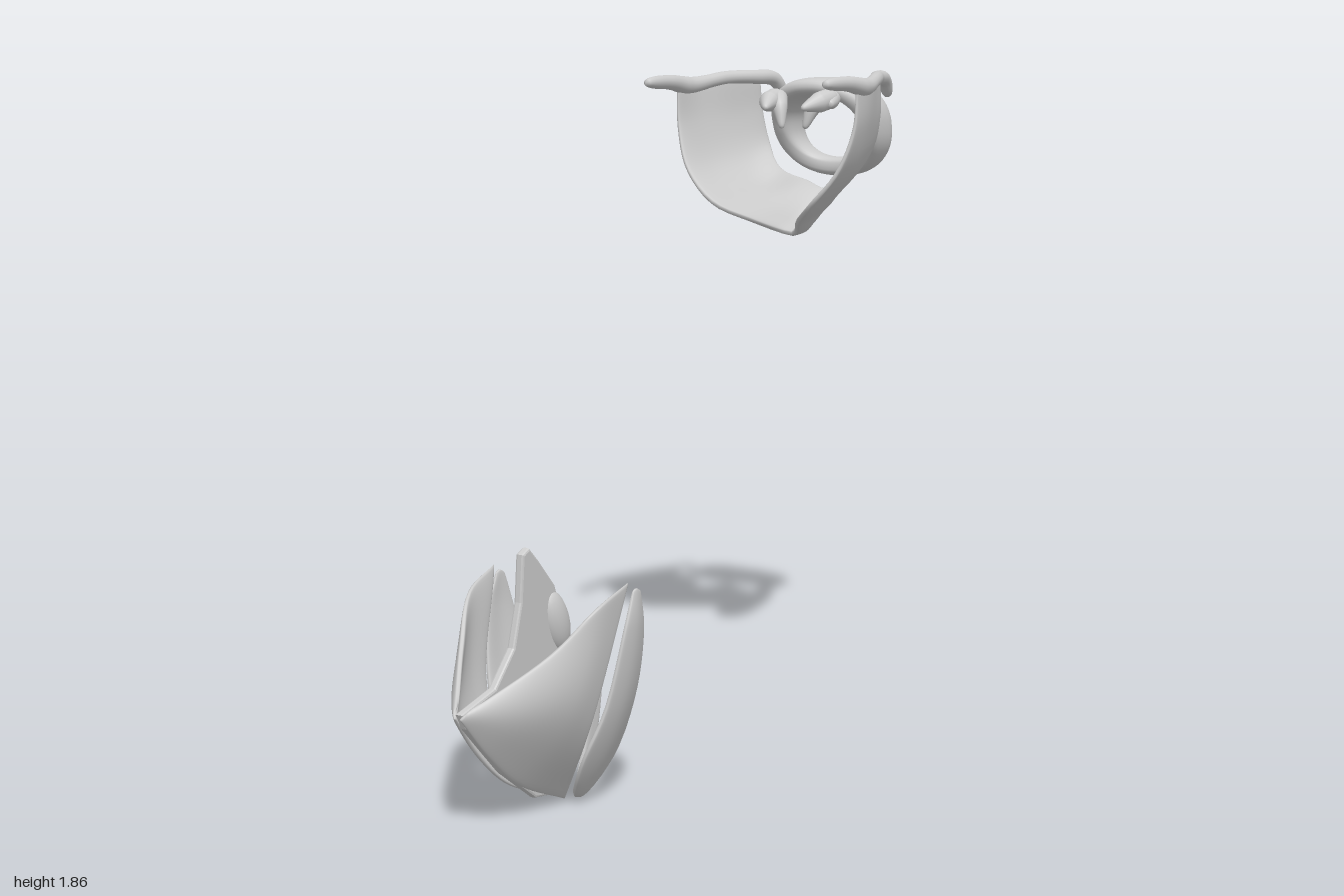
import * as THREE from 'three';
import { mergeVertices } from 'three/addons/utils/BufferGeometryUtils.js';

const material = new THREE.MeshStandardMaterial({ color: 0xcccccc, side: THREE.DoubleSide });
const V = (p) => new THREE.Vector3(...p);
const spline = (points) => new THREE.CatmullRomCurve3(points);
const clamp01 = (t) => Math.min(1, Math.max(0, t));

// Closed smooth surface from fn(u, v); triangles are turned to face outwards
function surface(fn, nu, nv) {
  const pos = [], index = [];
  for (let i = 0; i <= nu; i++)
    for (let j = 0; j <= nv; j++) pos.push(...fn(i / nu, j / nv).toArray());
  for (let i = 0; i < nu; i++)
    for (let j = 0; j < nv; j++) {
      const a = i * (nv + 1) + j, b = a + nv + 1;
      index.push(a, b, a + 1, b, b + 1, a + 1);
    }
  const at = (k) => new THREE.Vector3().fromArray(pos, k * 3);
  let volume = 0;
  for (let k = 0; k < index.length; k += 3)
    volume += at(index[k]).dot(at(index[k + 1]).cross(at(index[k + 2])));
  if (volume < 0) index.reverse();
  const geo = new THREE.BufferGeometry();
  geo.setAttribute('position', new THREE.Float32BufferAttribute(pos, 3));
  geo.setIndex(index);
  const merged = mergeVertices(geo, 1e-5);
  merged.computeVertexNormals();
  return merged;
}

// Curved plate through rows of points, thickened with rounded rims
function sheet(rows, half, nu = 28, nv = 56) {
  const curves = rows.map((r) => spline(r.map(V)));
  const point = (u, w) => spline(curves.map((c) => c.getPoint(clamp01(u)))).getPoint(clamp01(w));
  return surface((u, v) => {
    const uu = (1 - Math.cos(Math.PI * u)) / 2, w = (1 - Math.cos(2 * Math.PI * v)) / 2;
    const s = Math.sin(2 * Math.PI * v);
    const e = 0.004;
    const du = point(uu + e, w).sub(point(uu - e, w));
    const dw = point(uu, w + e).sub(point(uu, w - e));
    const n = du.cross(dw).normalize();
    const rim = Math.pow(Math.max(0, Math.sin(Math.PI * u)), 0.5);
    return point(uu, w).addScaledVector(n, half * rim * Math.sign(s) * Math.sqrt(Math.abs(s)));
  }, nu, nv);
}

// Round-ended tube with changing radius
function horn(points, radii, n = 40) {
  const curve = spline(points.map(V));
  const frames = curve.computeFrenetFrames(n);
  return surface((u, v) => {
    const i = Math.round(u * n), f = u * (radii.length - 1), k = Math.min(Math.floor(f), radii.length - 2);
    const cap = Math.sqrt(Math.max(0, 1 - Math.pow(Math.abs(2 * u - 1), 12)));
    const r = THREE.MathUtils.lerp(radii[k], radii[k + 1], f - k) * cap;
    return curve.getPointAt(u)
      .addScaledVector(frames.normals[i], r * Math.cos(2 * Math.PI * v))
      .addScaledVector(frames.binormals[i], r * Math.sin(2 * Math.PI * v));
  }, n, 14);
}

const flip = (points, s) => points.map(([x, y, z]) => [x * s, y, z]);

export function createModel() {
  const model = new THREE.Group();
  const add = (parent, name, geo) => {
    const mesh = new THREE.Mesh(geo, material);
    mesh.name = name;
    parent.add(mesh);
  };
  const larynx = new THREE.Group(), nose = new THREE.Group();
  larynx.name = 'larynxCartilages';
  nose.name = 'noseCartilages';
  model.add(larynx, nose);

  // Thyroid shield: one V-shaped plate folded at the keel
  const wing = [
    [[0.293, 1.82, -0.5], [0.285, 1.84, -0.6], [0.24, 1.85, -0.72], [0.2, 1.84, -0.82]],
    [[0.287, 1.7, -0.495], [0.27, 1.71, -0.6], [0.235, 1.72, -0.72], [0.195, 1.735, -0.83]],
    [[0.245, 1.58, -0.475], [0.228, 1.59, -0.6], [0.2, 1.61, -0.72], [0.17, 1.64, -0.83]],
    [[0.16, 1.485, -0.475], [0.15, 1.5, -0.58], [0.13, 1.52, -0.69], [0.105, 1.57, -0.785]],
    [[0.08, 1.435, -0.55], [0.075, 1.45, -0.64], [0.065, 1.48, -0.75], [0.05, 1.535, -0.845]],
  ];
  const keel = [[0, 1.39, -0.66], [0, 1.405, -0.72], [0, 1.455, -0.79], [0, 1.51, -0.865]];
  const otherWing = wing.map((r) => flip(r, -1)).reverse();
  add(larynx, 'thyroidShield', sheet([...wing, keel, ...otherWing], 0.014, 28, 120));

  // Cricoid signet ring: tall plate above, narrow arch below
  add(larynx, 'cricoidRing', surface((u, v) => {
    const a = 2 * Math.PI * u, c = Math.cos(a), s = Math.sin(a), b = 2 * Math.PI * v;
    const sq = (t, p) => Math.sign(t) * Math.pow(Math.abs(t), p);
    const front = -0.75 - 0.085 * (1 - s), back = -0.965 - 0.0175 * (1 - s);
    const t = 0.028 * sq(Math.sin(b), 0.7), w = sq(Math.cos(b), 0.7);
    return new THREE.Vector3(
      sq(c, 0.88) * (0.148 + t), 1.695 + sq(s, 0.88) * (0.12 + t),
      (front + back) / 2 + w * (front - back) / 2);
  }, 72, 24));

  // Upper cartilages of the nose: fans from the bridge to the free margin
  const fan = [
    [[0.008, 0.32, 0.995], [0.016, 0.2, 0.89], [0.02, 0.1, 0.77], [0.03, 0.015, 0.58]],
    [[0.014, 0.33, 0.985], [0.1, 0.32, 0.86], [0.155, 0.31, 0.74], [0.16, 0.26, 0.645]],
    [[0.022, 0.34, 0.965], [0.135, 0.455, 0.79], [0.195, 0.555, 0.675], [0.208, 0.6, 0.55]],
  ];
  // Lower cartilages: broad outer petal, dome, slim inner strip
  const petal = [
    [[0.212, 0.575, 0.535], [0.212, 0.58, 0.52], [0.212, 0.57, 0.5]],
    [[0.212, 0.48, 0.575], [0.213, 0.48, 0.525], [0.2, 0.46, 0.47]],
    [[0.18, 0.28, 0.615], [0.185, 0.29, 0.54], [0.17, 0.3, 0.457]],
    [[0.125, 0.14, 0.64], [0.125, 0.13, 0.55], [0.11, 0.13, 0.46]],
    [[0.065, 0.04, 0.59], [0.06, 0.03, 0.54], [0.055, 0.04, 0.485]],
    [[0.03, 0.025, 0.53], [0.03, 0.02, 0.505], [0.03, 0.03, 0.48]],
    [[0.03, 0.16, 0.48], [0.03, 0.16, 0.455], [0.033, 0.17, 0.432]],
    [[0.038, 0.315, 0.432], [0.04, 0.32, 0.425], [0.042, 0.315, 0.418]],
  ];

  for (const [side, s] of [['left', 1], ['right', -1]]) {
    // Thickened rear border running from upper to lower horn
    add(larynx, side + 'ThyroidHorns', horn(flip([
      [0.287, 1.83, -0.315], [0.29, 1.83, -0.45], [0.288, 1.82, -0.56], [0.25, 1.84, -0.7],
      [0.205, 1.842, -0.8], [0.185, 1.835, -0.88], [0.175, 1.785, -0.93]], s),
    [0.018, 0.02, 0.026, 0.02, 0.02, 0.022, 0.022], 64));

    // Arytenoid: lump with a pointed apex, a vocal spur and an outer knob
    const arytenoid = new THREE.Group();
    arytenoid.name = side + 'Arytenoid';
    larynx.add(arytenoid);
    const root = [0.09, 1.785, -0.735];
    add(arytenoid, 'apex', horn(flip([root, [0.085, 1.775, -0.68], [0.06, 1.755, -0.605]], s), [0.03, 0.03, 0.008]));
    add(arytenoid, 'vocalSpur', horn(flip([root, [0.06, 1.765, -0.69], [0.037, 1.695, -0.665]], s), [0.03, 0.024, 0.008]));
    add(arytenoid, 'outerKnob', horn(flip([root, [0.1, 1.775, -0.71], [0.115, 1.765, -0.675]], s), [0.028, 0.022, 0.01]));

    add(nose, side + 'UpperNoseCartilage', sheet(fan.map((r) => flip(r, s)), 0.011));
    add(nose, side + 'LowerNoseCartilage', sheet(petal.map((r) => flip(r, s)), 0.01, 24, 90));
  }

  // Septum: thin upright plate, drawn as (z, y) and turned to face sideways
  const outline = [[0.99, 0.33], [0.85, 0.365], [0.77, 0.45], [0.738, 0.56], [0.728, 0.68], [0.7, 0.693],
    [0.66, 0.655], [0.59, 0.58], [0.55, 0.48], [0.49, 0.3], [0.48, 0.13], [0.54, 0.02], [0.68, 0.04],
    [0.82, 0.14], [0.97, 0.29]];
  const shape = new THREE.Shape(outline.map(([z, y]) => new THREE.Vector2(-z, y)));
  const septum = new THREE.ExtrudeGeometry(shape, {
    depth: 0.012, bevelThickness: 0.006, bevelSize: 0.006, bevelOffset: -0.006, bevelSegments: 2 });
  septum.translate(0, 0, -0.006).rotateY(Math.PI / 2);
  add(nose, 'septum', septum);

  // Swollen ridge on the rear margin of the septum
  const ridge = new THREE.SphereGeometry(1, 24, 16).scale(0.034, 0.09, 0.045).rotateX(0.35).translate(0, 0.48, 0.575);
  add(nose, 'septumRidge', ridge);

  return model;
}
